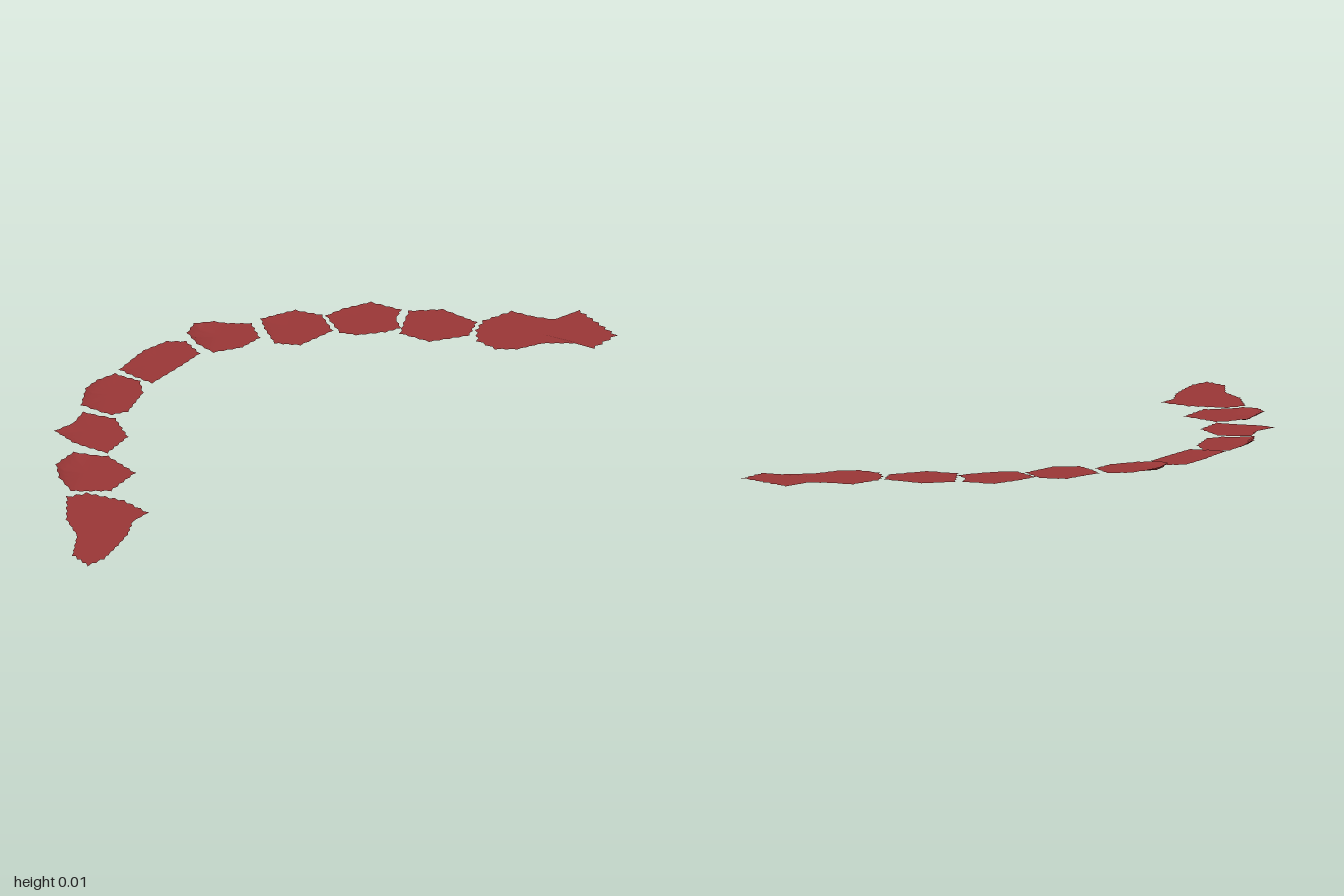
import * as THREE from 'three';

const material = new THREE.MeshStandardMaterial({ color: 0x993636, side: THREE.DoubleSide });

// Thin, ragged-edged scale: flat middle, with the outer (-x, +z) rim curled up by `lift`.
// `outline` lists x, z pairs, clockwise seen from above.
function makeScale(lift, outline) {
  const corners = [];
  for (let i = 0; i < outline.length; i += 2) corners.push(new THREE.Vector2(outline[i], outline[i + 1]));
  const centre = corners.reduce((s, c) => s.add(c), new THREE.Vector2()).divideScalar(corners.length);

  // Rim with small teeth along every edge
  const rim = [];
  corners.forEach((a, i) => {
    const b = corners[(i + 1) % corners.length];
    const steps = Math.max(2, 2 * Math.round(a.distanceTo(b) / 0.03));
    for (let k = 0; k < steps; k++) {
      const p = a.clone().lerp(b, k / steps);
      if (k % 2) p.lerp(centre, 0.05);
      rim.push(p);
    }
  });

  // Centre, flat inner ring and curled rim
  const n = rim.length;
  const positions = [centre.x, 0, centre.y];
  const indices = [];
  for (const p of rim) {
    const q = p.clone().lerp(centre, 0.25);
    positions.push(q.x, 0, q.y);
  }
  for (const p of rim) {
    const d = p.clone().sub(centre).normalize();
    positions.push(p.x, lift * Math.max(0, -0.8 * d.x + 0.6 * d.y), p.y);
  }
  for (let i = 0; i < n; i++) {
    const j = (i + 1) % n;
    const a = 1 + i, b = 1 + j, c = a + n, d = b + n;
    indices.push(0, b, a, a, b, d, a, d, c);
  }
  const geometry = new THREE.BufferGeometry();
  geometry.setAttribute('position', new THREE.Float32BufferAttribute(positions, 3));
  geometry.setIndex(indices);
  geometry.computeVertexNormals();
  return new THREE.Mesh(geometry, material);
}

export function createModel() {
  const group = new THREE.Group();
  group.name = 'scaleArc';
  const add = (name, lift, outline) => {
    const mesh = makeScale(lift, outline);
    mesh.name = name;
    group.add(mesh);
  };

  // Back end
  add('backEndScale', 0, [0.19, -1, 0.37, -1, 0.385, -0.9, 0.34, -0.89, 0.27, -0.8, 0.25, -0.72,
    0.21, -0.67, 0.14, -0.655, 0.09, -0.69, 0.06, -0.74, 0.07, -0.84, 0.13, -0.87, 0.185, -0.91]);

  // Scales along the arc
  add('scale1', 0, [0.01, -0.71, 0.06, -0.725, 0.105, -0.66, 0.06, -0.545, -0.03, -0.505,
    -0.07, -0.55, -0.115, -0.605, -0.06, -0.69]);
  add('scale2', 0.002, [-0.22, -0.55, -0.13, -0.595, -0.1, -0.55, -0.05, -0.53, -0.06, -0.48,
    -0.1, -0.4, -0.14, -0.37, -0.24, -0.395, -0.24, -0.46]);
  add('scale3', 0.004, [-0.32, -0.35, -0.25, -0.395, -0.16, -0.365, -0.155, -0.24, -0.21, -0.185,
    -0.29, -0.21, -0.34, -0.235]);
  add('scale4', 0.012, [-0.41, -0.12, -0.34, -0.205, -0.26, -0.175, -0.25, -0.1, -0.28, -0.015,
    -0.34, 0, -0.4, -0.01, -0.43, -0.06]);
  add('scale5', 0.006, [-0.38, 0.005, -0.3, 0.015, -0.28, 0.1, -0.255, 0.23, -0.31, 0.25,
    -0.37, 0.265, -0.41, 0.14, -0.415, 0.05]);
  add('scale6', 0.012, [-0.365, 0.28, -0.29, 0.245, -0.23, 0.28, -0.175, 0.38, -0.19, 0.43,
    -0.28, 0.475, -0.34, 0.41, -0.36, 0.35]);
  add('scale7', 0.005, [-0.255, 0.485, -0.17, 0.43, -0.065, 0.465, -0.03, 0.57, -0.14, 0.615,
    -0.22, 0.62, -0.22, 0.55]);
  add('scale8', 0.014, [-0.02, 0.575, 0.105, 0.57, 0.14, 0.69, 0.07, 0.785, 0, 0.775,
    -0.06, 0.74, -0.09, 0.65]);

  // Front end
  add('frontEndScale', 0, [0.1, 0.75, 0.2, 0.69, 0.3, 0.675, 0.31, 0.74, 0.36, 0.8, 0.39, 0.86,
    0.425, 0.94, 0.425, 1, 0.35, 1, 0.27, 0.92, 0.18, 0.89, 0.08, 0.81]);

  return group;
}
